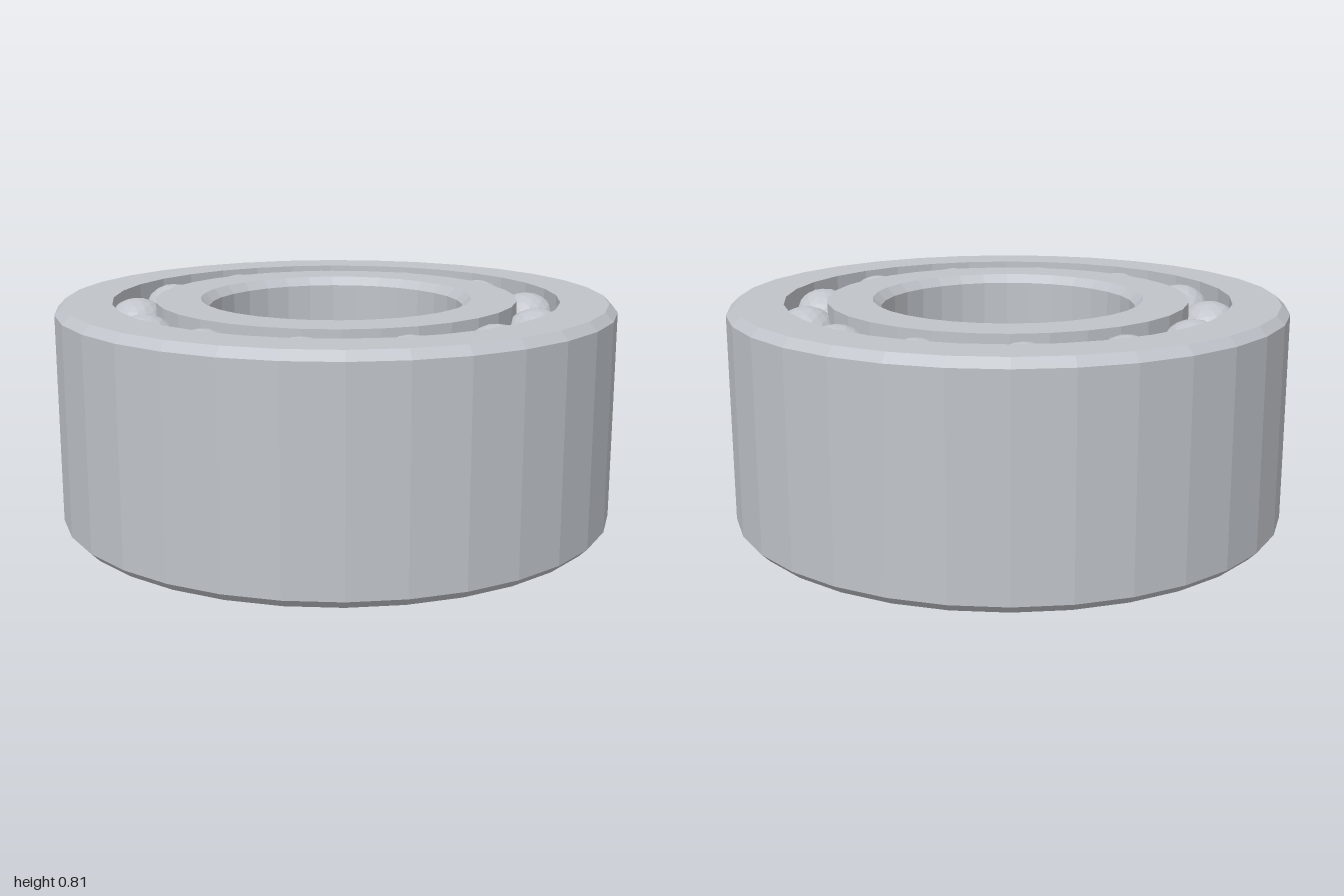
import * as THREE from 'three';

const HEIGHT = 0.805;
const CHAMFER = 0.03;
const SEGMENTS = 32;
const BALLS = 13;

// Revolve a closed profile of [radius, height] pairs
function ring(name, profile, material) {
  const points = [...profile, profile[0]].map(([r, y]) => new THREE.Vector2(r, y));
  const mesh = new THREE.Mesh(new THREE.LatheGeometry(points, SEGMENTS), material);
  mesh.name = name;
  return mesh;
}

export function createModel() {
  const steel = new THREE.MeshStandardMaterial({ color: 0xc0c4ca, flatShading: true });
  steel.name = 'steel';

  const model = new THREE.Group();
  model.name = 'ballBearing';

  // Outer ring, chamfered on its outside edges
  model.add(ring('outerRing', [
    [0.8, 0], [1 - CHAMFER, 0], [1, CHAMFER],
    [1, HEIGHT - CHAMFER], [1 - CHAMFER, HEIGHT], [0.8, HEIGHT],
  ], steel));

  // Inner ring, chamfered around the bore
  const bore = 0.457;
  model.add(ring('innerRing', [
    [bore + CHAMFER, 0], [0.648, 0], [0.648, HEIGHT],
    [bore + CHAMFER, HEIGHT], [bore, HEIGHT - CHAMFER], [bore, CHAMFER],
  ], steel));

  // Two aligned rows of balls
  const ballGeometry = new THREE.IcosahedronGeometry(0.12, 3);
  [['lowerBalls', 0.13], ['upperBalls', HEIGHT - 0.13]].forEach(([name, y]) => {
    const row = new THREE.Group();
    row.name = name;
    for (let i = 0; i < BALLS; i++) {
      const angle = (i / BALLS) * Math.PI * 2;
      const ball = new THREE.Mesh(ballGeometry, steel);
      ball.name = 'ball';
      ball.position.set(0.724 * Math.cos(angle), y, 0.724 * Math.sin(angle));
      ball.rotation.y = -angle;
      row.add(ball);
    }
    model.add(row);
  });

  return model;
}
